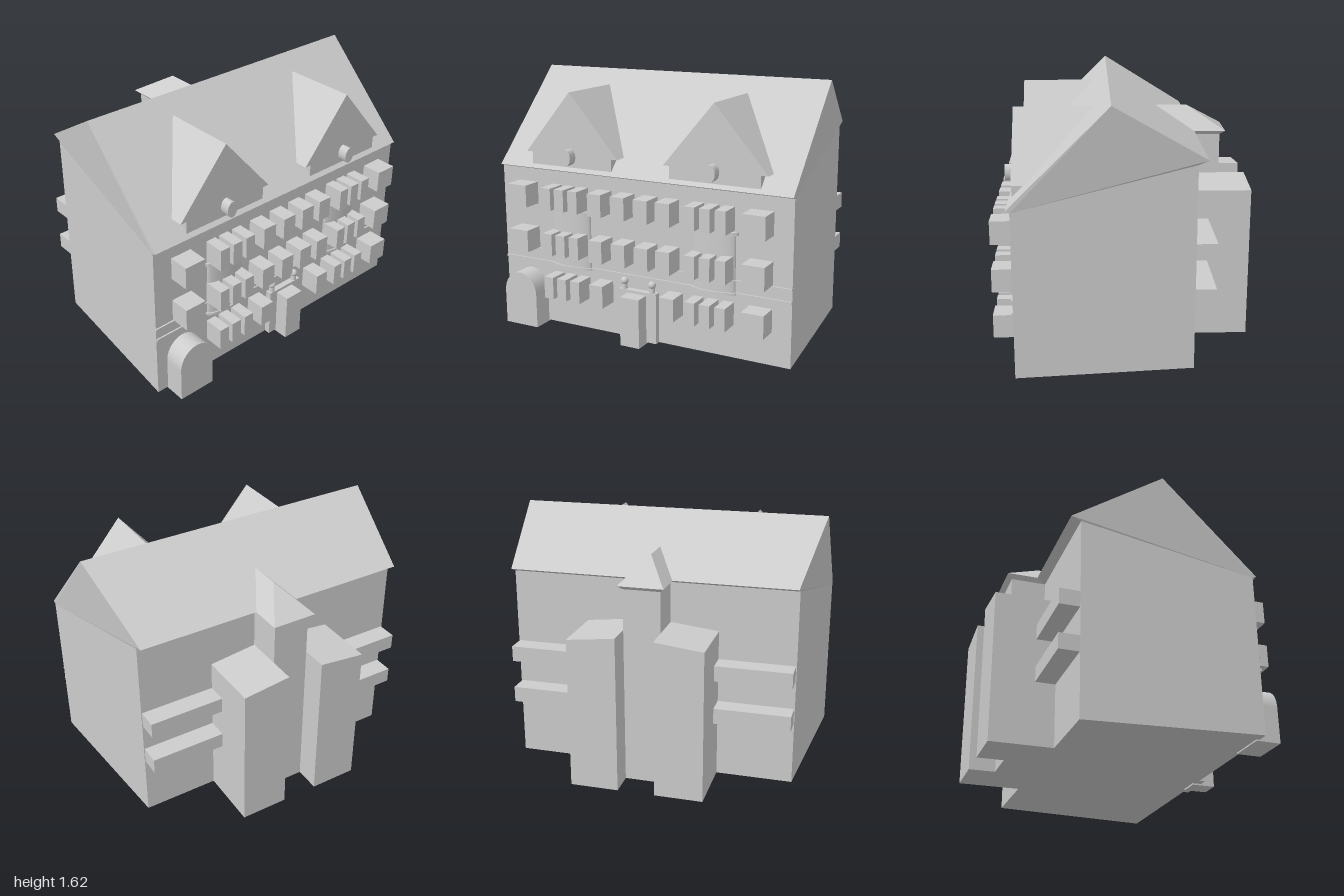
import * as THREE from 'three';

const stone = new THREE.MeshStandardMaterial({ color: 0xcccccc });
stone.name = 'pale grey';

export function createModel() {
  const house = new THREE.Group();
  house.name = 'townhouse';

  const add = (name, geometry) => {
    const mesh = new THREE.Mesh(geometry, stone);
    mesh.name = name;
    house.add(mesh);
    return mesh;
  };

  // Box given by its limits on each axis
  const box = (name, x0, x1, y0, y1, z0, z1) =>
    add(name, new THREE.BoxGeometry(x1 - x0, y1 - y0, z1 - z0)
      .translate((x0 + x1) / 2, (y0 + y1) / 2, (z0 + z1) / 2));

  // Shape in the xy plane pushed out between two depths
  const slab = (name, shape, z0, z1, curveSegments = 16) =>
    add(name, new THREE.ExtrudeGeometry(shape, { depth: z1 - z0, bevelEnabled: false, curveSegments })
      .translate(0, 0, z0));
  const outline = (pts) => new THREE.Shape(pts.map(([x, y]) => new THREE.Vector2(x, y)));

  // Solid symmetric in x from a side profile of [halfWidth, y, z] points
  const mirroredSolid = (name, loop) => {
    const pos = [];
    const L = loop.map(([x, y, z]) => [-x, y, z]);
    const n = loop.length;
    for (let i = 0; i < n; i++) {
      const j = (i + 1) % n;
      pos.push(...L[i], ...loop[i], ...loop[j], ...L[i], ...loop[j], ...L[j]);
      if (i > 0 && j > 0) {
        pos.push(...L[0], ...L[i], ...L[j]);
        pos.push(...loop[0], ...loop[j], ...loop[i]);
      }
    }
    const g = new THREE.BufferGeometry();
    g.setAttribute('position', new THREE.Float32BufferAttribute(pos, 3));
    g.computeVertexNormals();
    return add(name, g);
  };

  const wallZ = 0.655;

  // Walls narrowing to the back, with leaning gables and overhanging eaves
  mirroredSolid('wallsAndRoof', [
    [1, 1.02, wallZ], [1, 1.03, 0.68], [1, 1.615, 0.09],
    [0.905, 1.285, -0.46], [0.905, 1.26, -0.4], [0.905, 0.01, -0.4], [1, 0.01, wallZ],
  ]);

  // Rear stair tower and its hipped roof
  box('stairTower', -0.117, 0.117, 0.01, 1.26, -0.625, -0.38);
  mirroredSolid('stairTowerRoof', [
    [0.143, 1.285, -0.46], [0, 1.43, -0.22], [0, 1.43, -0.42],
    [0.143, 1.285, -0.658], [0.117, 1.26, -0.625], [0.117, 1.26, -0.4],
  ]);

  // Rear wings with tops falling outward, and balconies
  for (const s of [-1, 1]) {
    const wing = outline([[0.117 * s, 0.01], [0.422 * s, 0.01], [0.422 * s, 0.97], [0.117 * s, 1.005]]);
    slab('rearWing', wing, -0.79, -0.38);
    for (const y of [0.41, 0.69]) {
      const [a, b] = s > 0 ? [0.4, 0.9] : [-0.9, -0.4];
      box('balcony', a, b, y, y + 0.1, -0.525, -0.38);
    }
  }

  // Front dormers with an oval window each
  for (const x of [-0.475, 0.505]) {
    slab('dormer', outline([
      [x - 0.288, 1.053], [x + 0.292, 1.053], [x + 0.292, 1.13], [x + 0.336, 1.13],
      [x, 1.52], [x - 0.33, 1.13], [x - 0.288, 1.13],
    ]), 0.19, 0.658);
    const oval = new THREE.CylinderGeometry(1, 1, 0.08, 24).rotateX(Math.PI / 2)
      .scale(0.035, 0.051, 1).translate(x, 1.122, 0.678);
    add('dormerOvalWindow', oval);
  }

  // Projecting front windows: [left edge, width]
  const narrow = [-0.618, -0.522, -0.423, 0.377, 0.474, 0.573].map((x) => [x, 0.067]);
  const wide = [[-0.875, 0.14], [0.739, 0.141]];
  const middle = [-0.28, -0.118, 0.04, 0.187].map((x) => [x, 0.094]);
  const upper = [...narrow, ...wide, ...middle];
  const ground = [...narrow, wide[1], middle[0], [0.211, 0.094]];
  for (const [y, row] of [[0.794, upper], [0.501, upper], [0.216, ground]]) {
    for (const [x, w] of row) box('window', x, x + w, y, y + 0.141, wallZ - 0.02, 0.784);
  }

  // Shallow curved bays with ledges
  const bow = (name, x, rx, rz, y0, y1) => {
    const g = new THREE.CylinderGeometry(1, 1, y1 - y0, 32, 1, false, -Math.PI / 2, Math.PI)
      .scale(rx, 1, rz).translate(x, (y0 + y1) / 2, wallZ - 0.001);
    add(name, g);
  };
  for (const x of [-0.478, 0.511]) {
    bow('bay', x, 0.138, 0.038, 0.404, 0.765);
    bow('bayCornice', x, 0.156, 0.048, 0.765, 0.786);
    bow('bayParapet', x, 0.125, 0.034, 0.786, 0.81);
    bow('bayLowerLedge', x, 0.15, 0.048, 0.404, 0.42);
    bow('bayUpperLedge', x, 0.145, 0.044, 0.49, 0.497);
  }

  // String courses across the front
  box('lowerStringCourse', -1, 1, 0.404, 0.42, wallZ - 0.01, wallZ + 0.01);
  box('upperStringCourse', -1, 1, 0.49, 0.497, wallZ - 0.01, wallZ + 0.01);

  // Arched gateway
  const arch = new THREE.Shape();
  arch.moveTo(-0.926, 0.002);
  arch.lineTo(-0.685, 0.002);
  arch.lineTo(-0.685, 0.22);
  arch.absellipse(-0.8055, 0.22, 0.1205, 0.135, 0, Math.PI, false, 0);
  arch.lineTo(-0.926, 0.002);
  slab('archedGate', arch, 0.635, 0.787);

  // Entrance surround, door and ball finials
  box('doorSurround', -0.12, 0.139, 0.01, 0.332, wallZ - 0.02, 0.693);
  box('door', -0.06, 0.07, 0, 0.313, wallZ - 0.02, 0.784);
  for (const x of [-0.091, 0.103]) {
    add('finialBase', new THREE.CylinderGeometry(0.016, 0.019, 0.036, 16).translate(x, 0.348, 0.673));
    add('finialBall', new THREE.SphereGeometry(0.024, 20, 12).translate(x, 0.381, 0.673));
  }

  return house;
}
